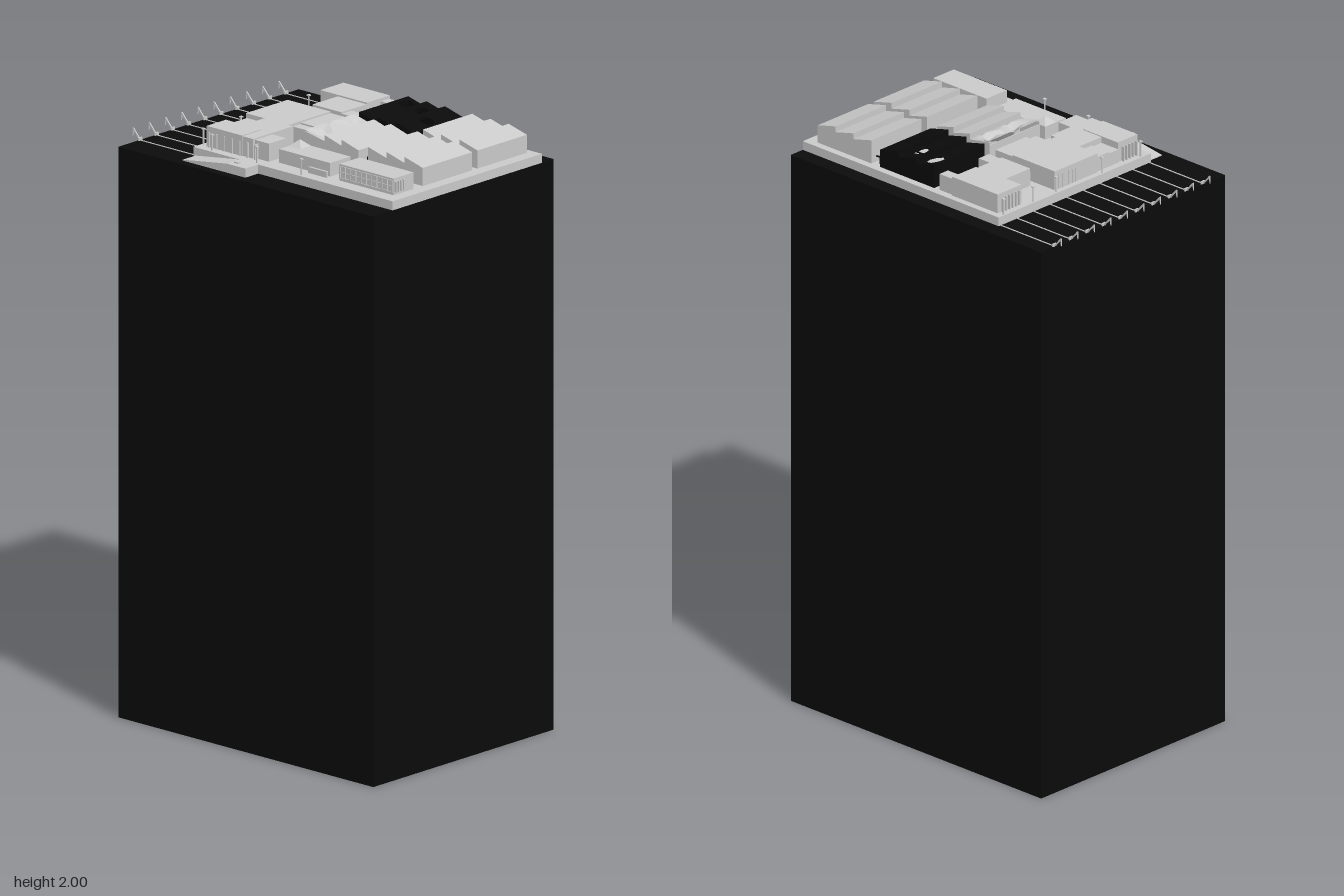
import * as THREE from 'three';

const GROUND = 1.89, DECK = 1.92;
const grey = new THREE.MeshStandardMaterial({ color: 0xcccccc, side: THREE.DoubleSide });
const dark = new THREE.MeshStandardMaterial({ color: 0x0b0b0b, side: THREE.DoubleSide });

export function createModel() {
  const model = new THREE.Group();
  const add = (name, geo, mat = grey) => {
    const mesh = new THREE.Mesh(geo, mat);
    mesh.name = name;
    model.add(mesh);
    return mesh;
  };
  // Box given by its lower and upper limits on each axis
  const box = (name, x0, x1, y0, y1, z0, z1, mat) =>
    add(name, new THREE.BoxGeometry(x1 - x0, y1 - y0, z1 - z0)
      .translate((x0 + x1) / 2, (y0 + y1) / 2, (z0 + z1) / 2), mat);
  // Outline in x and y, drawn out along z
  const prism = (name, points, z0, z1, mat) => {
    const shape = new THREE.Shape(points.map(([x, y]) => new THREE.Vector2(x, y)));
    return add(name, new THREE.ExtrudeGeometry(shape, { depth: z1 - z0, bevelEnabled: false })
      .translate(0, 0, z0), mat);
  };

  // Tall block of ground and the raised deck
  box('groundBlock', -0.54, 0.56, 0, GROUND, -0.42, 0.42, dark);
  box('deck', -0.3, 0.56, GROUND, DECK, -0.365, 0.33);
  prism('entranceRamp', [[-0.29, GROUND], [-0.02, GROUND], [-0.02, DECK], [-0.1, DECK], [-0.29, GROUND + 0.003]], 0.33, 0.39);
  box('rampHatch', -0.09, -0.072, DECK, DECK + 0.004, 0.355, 0.368);

  // Halls with saw-tooth roofs, the steep side of each tooth on the left
  const PEAK = 2, VALLEY = 1.98;
  const tooth = (x0, x1, z0, z1) => prism('sawtoothBay',
    [[x0, DECK], [x1, DECK], [x1, VALLEY], [x0, PEAK]], z0, z1);
  for (const [z0, z1] of [[-0.34, -0.11], [-0.085, 0.145]])
    for (let i = 0; i < 3; i++) tooth(0.283 + i * 0.0785, 0.283 + (i + 1) * 0.0785, z0, z1);
  for (const x of [0.095, 0.168]) tooth(x, x + 0.073, -0.085, 0.145);

  // Hall bay with a buckled roof
  const buckled = new THREE.PlaneGeometry(0.085, 0.23, 12, 32).rotateX(-Math.PI / 2).translate(0.0525, 0, 0.03);
  const bp = buckled.attributes.position;
  for (let i = 0; i < bp.count; i++) {
    const u = (bp.getX(i) - 0.01) / 0.085, v = (bp.getZ(i) + 0.085) / 0.23;
    const crease = 0.5 + 0.4 * Math.abs(((v * 2 + 0.5) % 1) * 2 - 1) - 0.2;
    const dent = Math.max(0, 1 - Math.abs(u - crease) * 2.5) * Math.sin(Math.PI * v);
    bp.setY(i, PEAK - 0.02 * u - 0.035 * dent);
  }
  buckled.computeVertexNormals();
  add('buckledRoof', buckled);
  box('buckledBayWall', 0.01, 0.013, DECK, 1.985, -0.085, 0.145);
  for (const z of [-0.085, 0.142])
    prism('buckledBayEnd', [[0.01, DECK], [0.095, DECK], [0.095, VALLEY], [0.01, 1.995]], z, z + 0.003);

  // Burnt hall: thin dark walls and holed roof panels
  const holes = [[0.043, -0.295, 0.029], [0.124, -0.277, 0.027], [0.205, -0.212, 0.028]];
  const bay = 0.079;
  holes.forEach(([cx, cz, r], i) => {
    const x0 = 0.007 + i * bay, x1 = x0 + bay;
    const panel = new THREE.Shape([[x0, 0.11], [x1, 0.11], [x1, 0.34], [x0, 0.34]].map(p => new THREE.Vector2(...p)));
    const hole = [];
    for (let k = 0; k < 7; k++) {
      const a = k / 7 * Math.PI * 2 + i, rr = r * (k % 3 ? 1 : 0.88);
      hole.push(new THREE.Vector2(cx + Math.cos(a) * rr, -cz + Math.sin(a) * rr));
    }
    panel.holes.push(new THREE.Path(hole));
    const roof = new THREE.ShapeGeometry(panel).rotateX(-Math.PI / 2);
    const p = roof.attributes.position;
    for (let k = 0; k < p.count; k++) p.setY(k, PEAK - (p.getX(k) - x0) / bay * (PEAK - VALLEY));
    roof.computeVertexNormals();
    add('burntRoofPanel', roof, dark);
    for (const z of [-0.34, -0.113])
      prism('burntGable', [[x0, DECK], [x1, DECK], [x1, VALLEY], [x0, PEAK]], z, z + 0.003, dark);
    box('burntSkylight', x0, x0 + 0.002, VALLEY, PEAK, -0.34, -0.11, dark);
  });
  for (const x of [0.007, 0.241]) box('burntWall', x, x + 0.003, DECK, VALLEY, -0.34, -0.11, dark);
  box('burntBeam', 0.09, 0.16, 1.982, 1.986, -0.28, -0.276, dark);

  // Dark machine units with pipes between the halls
  for (const start of [-0.316, -0.057])
    for (let i = 0; i < 5; i++) {
      const z = start + i * 0.0383;
      box('machineUnit', 0.241, 0.261, DECK, 1.95, z - 0.009, z + 0.009, dark);
      box('machinePipe', 0.261, 0.283, 1.937, 1.941, z - 0.002, z + 0.002, dark);
    }

  // Front workshop with a pyramid skylight
  box('workshop', 0.015, 0.235, DECK, 1.965, 0.175, 0.27);
  const pyramid = new THREE.ConeGeometry(0.05 / Math.SQRT2, 0.022, 4).toNonIndexed();
  pyramid.rotateY(Math.PI / 4).translate(0.04, 1.976, 0.2).computeVertexNormals();
  add('pyramidSkylight', pyramid);
  box('frontSign', 0.157, 0.235, DECK, 1.94, 0.28, 0.288);

  // Front office with window bars
  box('frontOffice', 0.285, 0.518, DECK, 1.975, 0.187, 0.28);
  for (let i = 0; i <= 10; i++) {
    const x = 0.287 + i * 0.0226;
    box('windowBar', x, x + 0.003, 1.928, 1.968, 0.28, 0.284);
  }
  for (const y of [1.928, 1.947, 1.966]) box('windowRail', 0.287, 0.516, y, y + 0.003, 0.28, 0.283);
  for (let i = 0; i < 4; i++) {
    const z = 0.235 + i * 0.012;
    box('sideWindow', 0.518, 0.527, 1.93, 1.965, z, z + 0.006);
  }

  // Two clusters of flat-roofed buildings: x0, x1, z0, z1, top
  const blocks = [
    [-0.275, -0.075, -0.343, -0.235, 1.985], [-0.2, -0.075, -0.235, -0.117, 1.98],
    [-0.075, -0.015, -0.338, -0.3, 1.975], [-0.075, -0.02, -0.165, -0.118, 1.975],
    [-0.28, -0.095, -0.088, 0.107, 1.985], [-0.095, -0.02, -0.088, 0.052, 1.98],
    [-0.2, -0.075, 0.107, 0.295, 1.985], [-0.147, -0.03, 0.045, 0.087, 1.975],
    [-0.275, -0.2, 0.107, 0.165, 1.97], [-0.275, -0.2, 0.165, 0.208, 1.965],
    [-0.272, -0.12, 0.208, 0.298, 1.988], [-0.12, -0.015, 0.205, 0.285, 1.98],
  ];
  for (const [x0, x1, z0, z1, top] of blocks) box('officeBlock', x0, x1, DECK, top, z0, z1);
  // Window piers on the outward walls
  for (const [z0, count] of [[-0.325, 6], [-0.07, 6], [0.225, 5]])
    for (let i = 0; i < count; i++) {
      const z = z0 + i * 0.015;
      box('windowPier', -0.282, -0.27, DECK, 1.97, z, z + 0.004);
    }
  for (let i = 0; i < 7; i++) {
    const x = -0.262 + i * 0.033;
    box('windowPier', x, x + 0.004, DECK, 1.97, 0.28, 0.302);
    if (i > 1) box('windowPier', x, x + 0.004, DECK, 1.965, -0.122, -0.111);
  }

  // Lamp posts
  const lamps = [[-0.23, 0.318], [-0.037, 0.318], [0.155, 0.318],
    [-0.293, -0.335], [-0.293, -0.2], [-0.293, -0.095], [-0.293, 0.115], [-0.293, 0.29]];
  for (const [x, z] of lamps) {
    box('lampPost', x - 0.002, x + 0.002, DECK, 1.97, z - 0.002, z + 0.002);
    box('lampHead', x - 0.005, x + 0.005, 1.97, 1.974, z - 0.005, z + 0.005);
  }

  // Ground strips that end in angled edge brackets
  for (let i = 0; i < 10; i++) {
    const z = -0.356 + i * 0.0754;
    box('groundStrip', -0.535, -0.3, GROUND, GROUND + 0.002, z - 0.002, z + 0.002);
    prism('edgeBracket', [[-0.567, 1.926], [-0.564, 1.926], [-0.532, GROUND], [-0.538, GROUND], [-0.564, 1.917], [-0.567, 1.9]], z - 0.002, z + 0.002);
    box('bracketFoot', -0.538, -0.533, GROUND, 1.9, z - 0.008, z + 0.008);
    for (const s of [0.025, 0.05])
      box('edgeStud', -0.525, -0.521, GROUND, GROUND + 0.004, z + s - 0.002, z + s + 0.002, dark);
  }
  return model;
}
